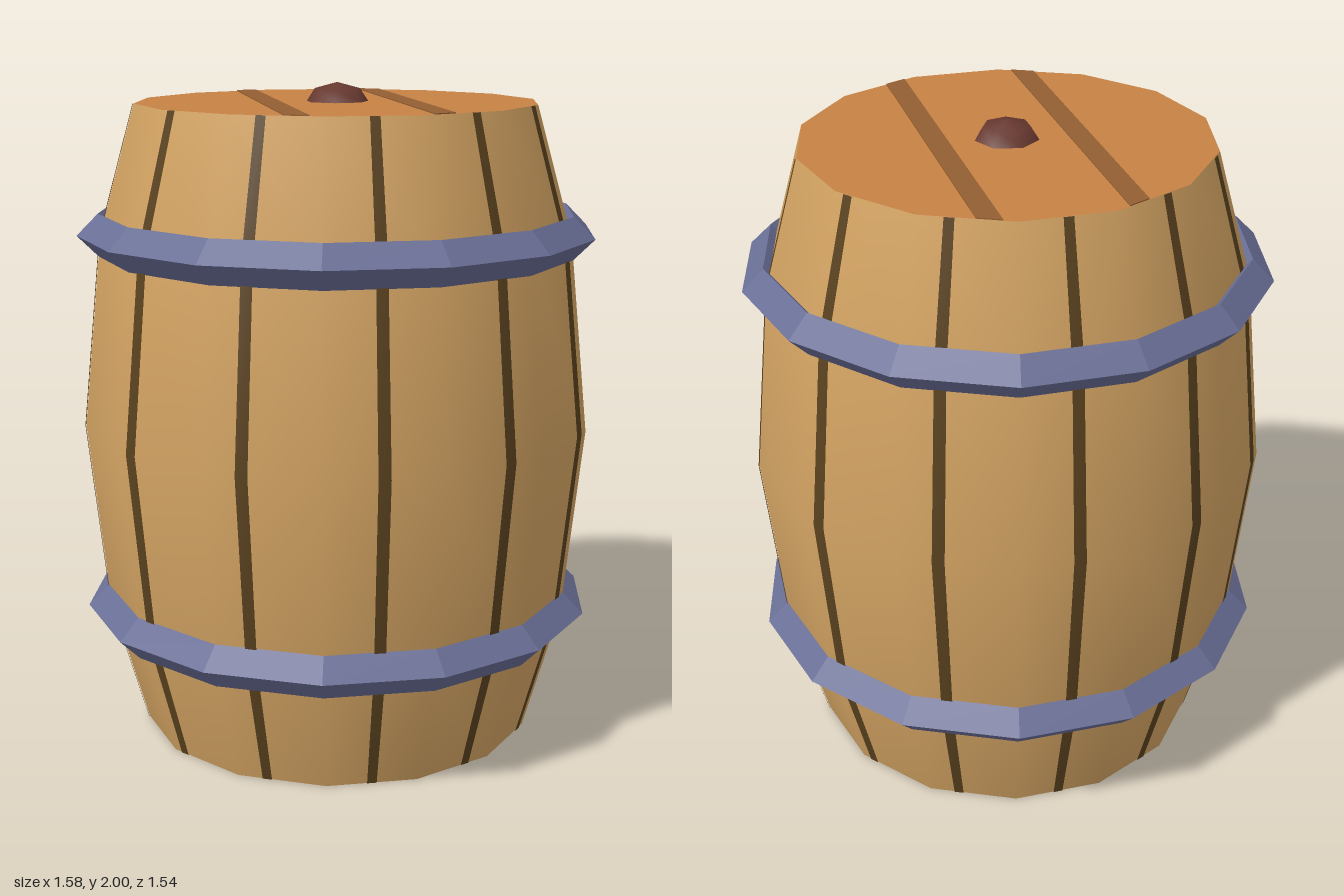
import * as THREE from 'three';

const SIDES = 14;
const STEP = (Math.PI * 2) / SIDES;
const TOP = 1.943;
// barrel outline as [radius, height]
const PROFILE = [[0.61, 0], [0.72, 0.39], [0.78, 0.972], [0.72, 1.555], [0.61, TOP]];

const paint = (name, color) => {
  const m = new THREE.MeshStandardMaterial({ color });
  m.name = name;
  return m;
};

// distance to the faceted wall in a given direction
function wallRadius(r, angle) {
  const off = angle - (Math.floor(angle / STEP) + 0.5) * STEP;
  return (r * Math.cos(STEP / 2)) / Math.cos(off);
}

// thin dark seam that follows the faceted wall from bottom to top
function seamGeometry(angle, half) {
  const angles = [angle - half, angle + half];
  const corner = Math.round(angle / STEP) * STEP;
  if (Math.abs(corner - angle) < half) angles.splice(1, 0, corner);
  const pos = [], index = [], n = angles.length;
  PROFILE.forEach(([r, y], j) => {
    angles.forEach((a, i) => {
      const d = wallRadius(r, a) + 0.003;
      pos.push(Math.cos(a) * d, y, Math.sin(a) * d);
      if (j < PROFILE.length - 1 && i < n - 1) {
        const k = j * n + i;
        index.push(k, k + n, k + 1, k + 1, k + n, k + n + 1);
      }
    });
  });
  const g = new THREE.BufferGeometry();
  g.setAttribute('position', new THREE.Float32BufferAttribute(pos, 3));
  g.setIndex(index);
  g.computeVertexNormals();
  return g;
}

// strip across the lid, cut off at the polygonal rim
function lidStripGeometry(x0, x1) {
  const r = 0.609;
  const rim = (x) => {
    const k = Math.floor(Math.acos(Math.abs(x) / r) / STEP);
    const ax = r * Math.cos(k * STEP), az = r * Math.sin(k * STEP);
    const bx = r * Math.cos((k + 1) * STEP), bz = r * Math.sin((k + 1) * STEP);
    return az + ((bz - az) * (Math.abs(x) - ax)) / (bx - ax);
  };
  const s = new THREE.Shape([
    new THREE.Vector2(x0, -rim(x0)), new THREE.Vector2(x1, -rim(x1)),
    new THREE.Vector2(x1, rim(x1)), new THREE.Vector2(x0, rim(x0)),
  ]);
  return new THREE.ExtrudeGeometry(s, { depth: 0.003, bevelEnabled: false }).rotateX(-Math.PI / 2);
}

export function createModel() {
  const wood = paint('stave wood', 0xd4a463);
  const seamDark = paint('seam brown', 0x5a421f);
  const lidWood = paint('lid wood', 0xc68244);
  const lidDark = paint('lid seam', 0x935e32);
  const iron = paint('hoop iron', 0x6a6f96);
  const plugWood = paint('plug wood', 0x66382f);

  const group = new THREE.Group();
  group.name = 'barrel';
  const add = (name, geometry, material, y = 0) => {
    const mesh = new THREE.Mesh(geometry, material);
    mesh.name = name;
    mesh.position.y = y;
    group.add(mesh);
    return mesh;
  };

  // bulging wall
  const outline = PROFILE.map(([r, y]) => new THREE.Vector2(r, y));
  add('staves', new THREE.LatheGeometry(outline, SIDES).rotateY(Math.PI / 2), wood);

  // seams between the twelve staves; those on a corner show only a sliver
  for (let i = 0; i < 12; i++) {
    add('staveSeam', seamGeometry((i * Math.PI) / 6, i % 6 === 0 ? 0.01 : 0.024), seamDark);
  }

  // both ends with two strips each
  const disc = () => new THREE.CircleGeometry(0.61, SIDES);
  add('lid', disc().rotateX(-Math.PI / 2), lidWood, TOP);
  add('base', disc().rotateX(Math.PI / 2), lidWood, 0.002);
  for (const [x0, x1] of [[-0.24, -0.175], [0.17, 0.235]]) {
    add('lidStrip', lidStripGeometry(x0, x1), lidDark, TOP);
    add('baseStrip', lidStripGeometry(x0, x1), lidDark, 0);
  }

  // diamond-section hoops
  iron.flatShading = true;
  for (const y of [0.39, 1.555]) {
    add('hoop', new THREE.TorusGeometry(0.725, 0.065, 4, SIDES).rotateX(Math.PI / 2), iron, y);
  }

  // domed plug
  const dome = [[0.095, 0], [0.07, 0.038], [0, 0.057]].map(([r, y]) => new THREE.Vector2(r, y));
  add('plug', new THREE.LatheGeometry(dome, 7).rotateY(Math.PI / 2), plugWood, TOP);

  return group;
}
